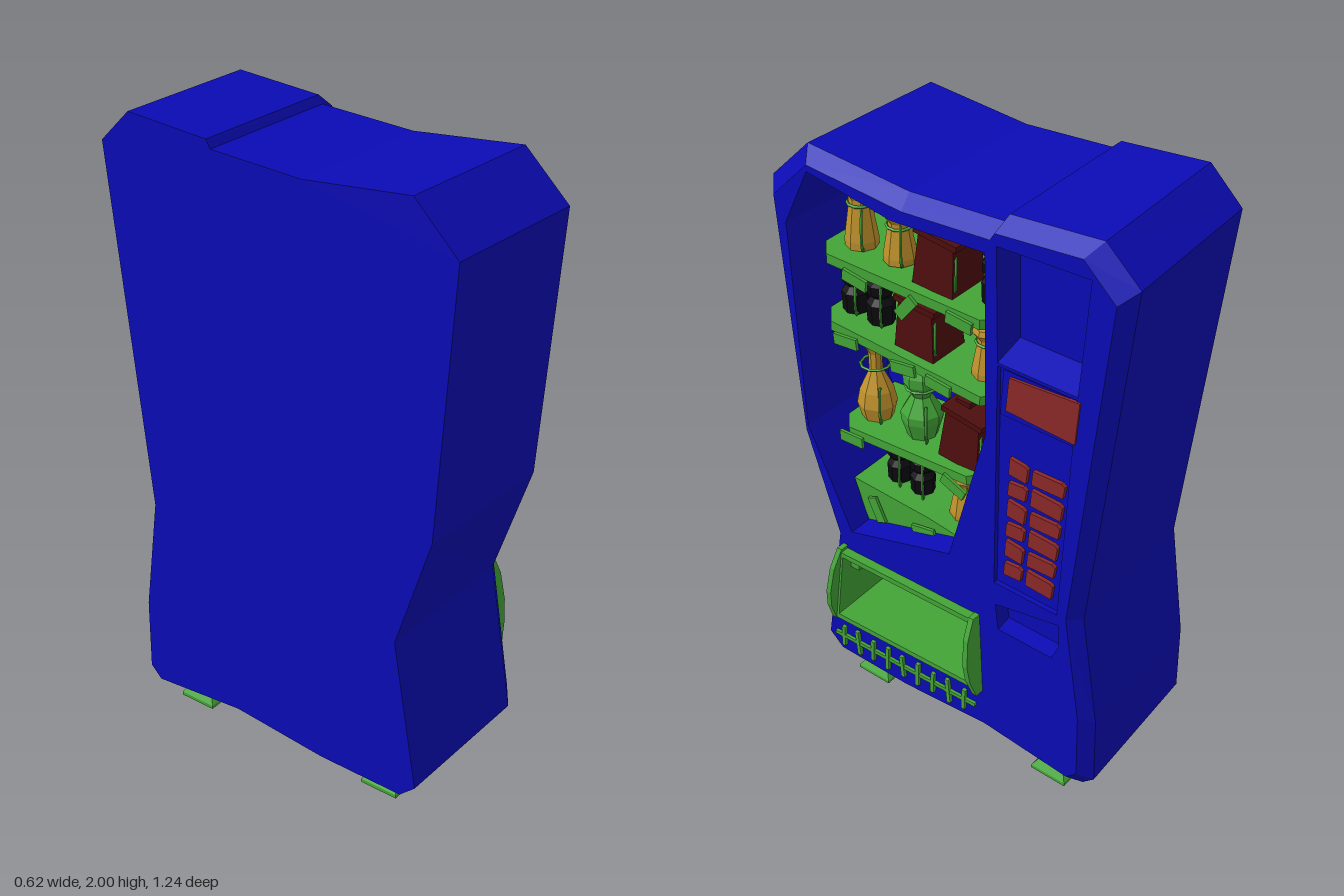
import * as THREE from 'three';

const mat = (name, color) => new THREE.MeshStandardMaterial({ name, color, side: THREE.DoubleSide });

export function createModel() {
  const root = new THREE.Group();
  root.name = 'vendingMachine';
  const blue = mat('cabinet blue', 0x0b0bb6), green = mat('trim green', 0x43a437);
  const red = mat('button red', 0x8c2828), amber = mat('amber', 0xc0922c);
  const maroon = mat('maroon', 0x4e0e0e), black = mat('black', 0x0b0b10);

  // Built facing +z, then turned to face +x
  const machine = new THREE.Group();
  machine.name = 'machine';
  machine.rotation.y = Math.PI / 2;
  root.add(machine);

  const flat = g => {
    const f = g.index ? g.toNonIndexed() : g;
    f.computeVertexNormals();
    return f;
  };
  const add = (name, geo, material, pos = [0, 0, 0], rotZ = 0, parent = machine) => {
    const m = new THREE.Mesh(flat(geo), material);
    m.name = name;
    m.position.set(...pos);
    m.rotation.z = rotZ;
    parent.add(m);
    return m;
  };
  const box = (w, h, d) => new THREE.BoxGeometry(w, h, d);
  const V = pts => pts.map(p => new THREE.Vector2(...p));
  const at = (pts, z) => pts.map(([x, y]) => [x, y, z]);
  const scaled = (pts, sx, sy, cy) => pts.map(([x, y]) => [x * sx, cy + (y - cy) * sy]);
  const shape = (pts, holes = []) => {
    const s = new THREE.Shape(V(pts));
    holes.forEach(h => s.holes.push(new THREE.Path(V(h))));
    return s;
  };
  const extrude = (s, depth) => new THREE.ExtrudeGeometry(s, { depth, bevelEnabled: false });
  // Walls joining successive closed loops of equal length
  const loft = rings => {
    const p = [];
    for (let r = 0; r + 1 < rings.length; r++) {
      const A = rings[r], B = rings[r + 1], n = A.length;
      for (let i = 0; i < n; i++) {
        const j = (i + 1) % n;
        p.push(...A[i], ...A[j], ...B[j], ...A[i], ...B[j], ...B[i]);
      }
    }
    const g = new THREE.BufferGeometry();
    g.setAttribute('position', new THREE.Float32BufferAttribute(p, 3));
    return g;
  };

  // Crooked cabinet outline and the openings in its front, counter-clockwise
  const outline = [[-0.47, 0.07], [-0.165, 0.07], [0.18, 0.1], [0.525, 0.07], [0.565, 0.11], [0.56, 0.36],
    [0.5, 0.75], [0.62, 1.9], [0.51, 2], [0.22, 1.975], [0.205, 1.95], [-0.11, 1.93], [-0.47, 1.96],
    [-0.615, 1.82], [-0.56, 0.99], [-0.44, 0.615], [-0.525, 0.12]];
  const front = scaled(outline, 0.935, 0.957, 1.04), back = scaled(outline, 0.965, 1, 1);
  const windowHole = [[-0.36, 0.663], [0.037, 0.785], [0.175, 1.29], [0.175, 1.868], [-0.14, 1.852],
    [-0.44, 1.9], [-0.535, 1.713], [-0.515, 1.013]];
  const topHole = [[0.217, 1.55], [0.477, 1.55], [0.505, 1.91], [0.212, 1.9]];
  const panelHole = [[0.207, 0.765], [0.435, 0.765], [0.475, 1.54], [0.217, 1.54]];
  const slotHole = [[0.223, 0.584], [0.42, 0.584], [0.445, 0.642], [0.443, 0.727], [0.212, 0.68]];
  const hatchHole = [[-0.415, 0.302], [0.14, 0.325], [0.132, 0.58], [-0.38, 0.565]];
  const F = 0.24;

  add('cabinetSides', loft([at(back, -0.31), at(outline, 0.195), at(front, F)]), blue);
  add('cabinetBack', new THREE.ShapeGeometry(shape(back)), blue, [0, 0, -0.31]);
  add('cabinetFront', new THREE.ShapeGeometry(shape(front, [windowHole, topHole, panelHole, slotHole, hatchHole])), blue, [0, 0, F]);

  // Recesses behind each opening
  const recess = (name, hole, z, wallMat = blue, rear = hole) => {
    add(name + 'Walls', loft([at(hole, F), at(rear, z)]), wallMat);
    add(name + 'Rear', new THREE.ShapeGeometry(shape(rear)), blue, [0, 0, z]);
  };
  recess('window', windowHole, -0.12, blue, scaled(windowHole, 0.97, 0.98, 1.3));
  recess('upperNook', topHole, 0.14, blue, scaled(topHole, 1, 0.92, 1.9));
  recess('keypadPanel', panelHole, 0.225);
  recess('coinSlot', slotHole, 0.18, blue, scaled(slotHole, 0.98, 0.9, 0.6));
  recess('hatch', hatchHole, -0.06, green);

  // Screen with bezel
  const screen = [[0.249, 1.411], [0.477, 1.4], [0.488, 1.538], [0.26, 1.522]];
  const bezel = [[0.225, 1.385], [0.468, 1.385], [0.474, 1.535], [0.235, 1.535]];
  add('screenBezel', extrude(shape(bezel), 0.012), blue, [0, 0, 0.225]);
  add('screen', extrude(shape(screen), 0.008), red, [0, 0, 0.238]);

  // Keypad: six rows of two uneven keys
  for (let r = 0; r < 6; r++) {
    const y = 1.218 - r * 0.0755, lean = -0.003 * r;
    const key = (name, x0, x1, t) => add(name, extrude(shape([[x0, y - 0.026], [x1, y - 0.028 - t],
      [x1 + 0.006, y + 0.018], [x1 - 0.006, y + 0.026], [x0 + 0.004, y + 0.028 + t]]), 0.012), red, [0, 0, 0.226]);
    key('leftKey', 0.255 + lean, 0.315 + lean, r % 2 ? -0.006 : 0.004);
    key('rightKey', 0.334 + lean, 0.44 + lean * 2, r % 2 ? 0.003 : -0.005);
  }

  // Delivery hatch: frame, curved end cheeks and latches
  const hatchOuter = [[-0.44, 0.281], [0.159, 0.308], [0.149, 0.6], [-0.398, 0.584]];
  add('hatchFrame', extrude(shape(hatchOuter, [hatchHole]), 0.03), green, [0, 0, F]);
  const cheek = [[0.23, 0.28], [0.27, 0.28], [0.3, 0.36], [0.31, 0.43], [0.3, 0.53], [0.27, 0.6], [0.23, 0.6]];
  [[-0.405, 0.14, 0], [0.157, -0.035, 0.006]].forEach(([x, slope, lift]) => {
    const g = extrude(shape(cheek), 0.018).rotateY(-Math.PI / 2), p = g.attributes.position;
    for (let i = 0; i < p.count; i++) p.setX(i, p.getX(i) + slope * (p.getY(i) - 0.44));
    add('hatchCheek', g, green, [x, lift - 0.003, 0]);
  });
  [-0.372, 0.122].forEach(x => add('hatchLatch', box(0.035, 0.025, 0.05), green, [x, 0.505, 0.2]));

  // Vent grille
  add('grilleBar', box(0.595, 0.014, 0.012), green, [-0.16, 0.195, F + 0.004], 0.045);
  for (let i = 0; i < 9; i++) {
    add('grilleTine', box(0.014, 0.085 + 0.012 * (i % 2), 0.016), green,
      [-0.42 + i * 0.064, 0.183 + i * 0.003, F + 0.004], i % 3 === 1 ? 0.08 : -0.05);
  }

  // Waisted feet
  for (const x of [-0.345, 0.39]) for (const z of [-0.2, 0.13]) {
    const s = 0.065;
    const ring = (k, y) => [[-k, y, k], [k, y, k], [k, y, -k], [-k, y, -k]];
    add('foot', loft([ring(0.001, 0), ring(s, 0), ring(s, 0.012), ring(0.042, 0.045), ring(0.06, 0.075), ring(0.06, 0.1)]), green, [x, 0, z]);
  }

  // Tilted shelves with chamfered front corners
  const shelf = (x0, y0, x1, y1) => {
    const L = Math.hypot(x1 - x0, y1 - y0) / 2;
    const g = extrude(shape([[-L, -0.14], [L, -0.14], [L, 0.08], [L - 0.05, 0.135], [0.05 - L, 0.135], [-L, 0.08]]), 0.032);
    add('shelf', g.rotateX(Math.PI / 2), green, [(x0 + x1) / 2, (y0 + y1) / 2, 0.03], Math.atan2(y1 - y0, x1 - x0));
  };
  shelf(-0.51, 1.604, 0.148, 1.597);
  shelf(-0.51, 1.378, 0.148, 1.342);
  shelf(-0.465, 1.005, 0.095, 1.04);
  add('bottomShelf', extrude(shape([[-0.36, 0.665], [-0.075, 0.72], [0.03, 0.78], [-0.11, 0.797], [-0.41, 0.81]]), 0.26), green, [0, 0, -0.1]);

  // Price tags
  [[-0.35, 1.558, -0.15], [-0.16, 1.54, 0.9], [0.03, 1.565, -0.1], [-0.4, 1.33, 0.1], [-0.18, 1.325, 0.15],
    [-0.05, 1.32, -0.1], [-0.4, 0.972, 0.05], [0, 0.98, -0.4], [0.037, 0.83, 1.2], [-0.31, 0.735, 2], [-0.12, 0.742, 0.2]]
    .forEach(([x, y, r]) => add('priceTag', box(0.09, 0.036, 0.01), green, [x, y, 0.17], r));

  // Goods: [radius, height] profiles relative to item width and height
  const profiles = {
    jar: [[0, 0], [0.5, 0], [0.5, 0.12], [0.33, 0.68], [0.33, 0.76], [0.48, 0.9], [0.42, 1], [0, 1]],
    pot: [[0, 0], [0.48, 0], [0.5, 0.4], [0.3, 0.52], [0.48, 0.62], [0.48, 0.8], [0.28, 0.86], [0.28, 1], [0, 1]],
    flask: [[0, 0], [0.4, 0], [0.5, 0.18], [0.42, 0.36], [0.17, 0.6], [0.17, 0.82], [0.26, 0.92], [0.26, 1], [0, 1]],
    urn: [[0, 0], [0.36, 0], [0.5, 0.24], [0.5, 0.34], [0.24, 0.56], [0.42, 0.74], [0.42, 0.86], [0.26, 1], [0, 1]]
  };
  const item = (kind, material, x, y, w, h, tilt = 0) => {
    const g = new THREE.Group();
    g.name = kind;
    g.position.set(x, y, 0.06);
    g.rotation.z = tilt;
    machine.add(g);
    if (kind === 'carton') {
      add('cartonBody', new THREE.CylinderGeometry(w * 0.58, w * 0.68, h * 0.84, 4).rotateY(Math.PI / 4), material, [0, h * 0.42, 0], 0, g);
      add('cartonLid', box(w, h * 0.1, w * 0.9), material, [0, h * 0.88, 0], -0.06, g);
      add('cartonTab', box(w * 0.35, h * 0.1, w * 0.3), material, [-w * 0.2, h * 0.96, 0], 0.1, g);
    } else {
      add(kind + 'Body', new THREE.LatheGeometry(V(profiles[kind].map(([r, t]) => [r * w, t * h])), 8), material, [0, 0, 0], 0, g);
      add('neckRing', new THREE.TorusGeometry(w * 0.37, 0.005, 4, 10).rotateX(Math.PI / 2), green, [0, h * 0.68, 0], 0, g);
    }
    // Dispenser wire curling round each item
    add('wire', new THREE.TorusGeometry(0.06, 0.004, 4, 12, Math.PI).rotateZ(-Math.PI / 2).rotateY(-0.9),
      green, [w * 0.32, 0.068, 0.03], 0, g);
  };
  item('jar', amber, -0.415, 1.605, 0.1, 0.2);
  item('jar', amber, -0.27, 1.605, 0.1, 0.165);
  item('carton', maroon, -0.095, 1.6, 0.15, 0.185, -0.05);
  item('pot', black, 0.075, 1.6, 0.085, 0.155);
  item('pot', black, -0.45, 1.375, 0.088, 0.16);
  item('pot', black, -0.353, 1.37, 0.088, 0.16);
  item('carton', maroon, -0.17, 1.355, 0.15, 0.185);
  item('jar', amber, 0.048, 1.348, 0.1, 0.16);
  item('flask', amber, -0.387, 1.012, 0.125, 0.28);
  item('urn', green, -0.207, 1.02, 0.13, 0.26);
  item('carton', maroon, -0.015, 1.033, 0.15, 0.19, -0.08);
  item('pot', black, -0.305, 0.8, 0.08, 0.155);
  item('pot', black, -0.212, 0.795, 0.08, 0.15);
  item('jar', amber, -0.042, 0.785, 0.1, 0.16);

  return root;
}
